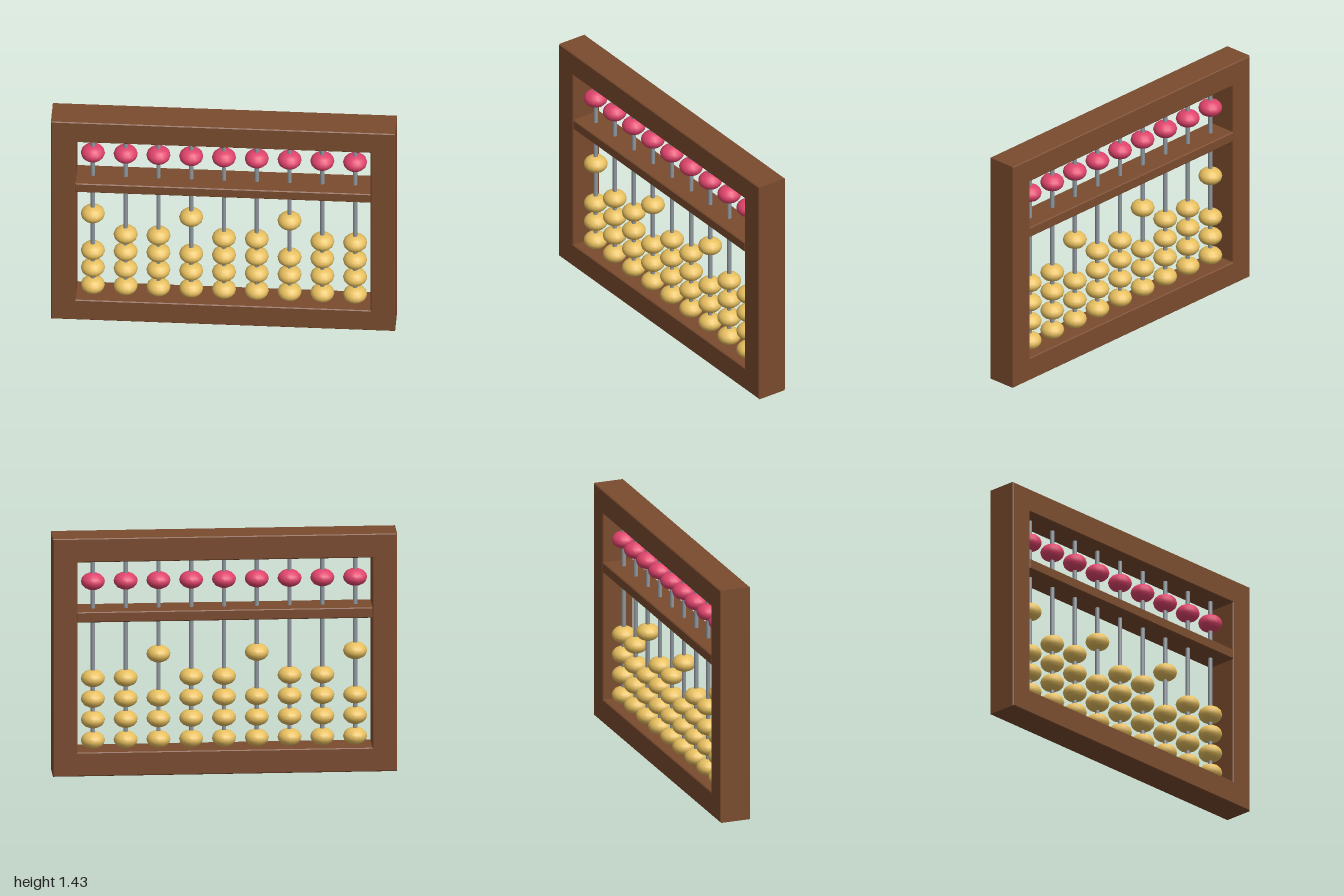
import * as THREE from 'three';

const WOOD = new THREE.MeshStandardMaterial({ color: 0x7a4b2e });
const STEEL = new THREE.MeshStandardMaterial({ color: 0x8f979e });
const RED = new THREE.MeshStandardMaterial({ color: 0xe0446c });
const GOLD = new THREE.MeshStandardMaterial({ color: 0xe8c060 });

const W = 2, H = 1.43, DEPTH = 0.187, RAIL = 0.143, BEVEL = 0.005;

// Traces a rectangle on a Shape or Path
function rect(path, x0, y0, x1, y1) {
  path.moveTo(x0, y0);
  path.lineTo(x1, y0);
  path.lineTo(x1, y1);
  path.lineTo(x0, y1);
  path.closePath();
  return path;
}

// Extrudes a shape along z, centred, with finely bevelled edges
function plank(shape, depth) {
  const geo = new THREE.ExtrudeGeometry(shape, {
    depth: depth - 2 * BEVEL, bevelEnabled: true, bevelThickness: BEVEL,
    bevelSize: BEVEL, bevelOffset: -BEVEL, bevelSegments: 1,
  });
  return geo.translate(0, 0, BEVEL - depth / 2);
}

function add(parent, name, geometry, material, x = 0, y = 0) {
  const mesh = new THREE.Mesh(geometry, material);
  mesh.name = name;
  mesh.position.set(x, y, 0);
  parent.add(mesh);
  return mesh;
}

export function createModel() {
  const abacus = new THREE.Group();
  abacus.name = 'abacus';

  // Outer frame with its window
  const outline = rect(new THREE.Shape(), -W / 2, 0, W / 2, H);
  outline.holes.push(rect(new THREE.Path(), -W / 2 + RAIL, RAIL, W / 2 - RAIL, H - RAIL));
  add(abacus, 'frame', plank(outline, DEPTH), WOOD);

  // Dividing beam
  const beam = rect(new THREE.Shape(), -0.859, 0.925, 0.859, 0.987);
  add(abacus, 'dividingBeam', plank(beam, DEPTH), WOOD);

  // Rods with one upper bead and four lower beads each
  const rodGeo = new THREE.CylinderGeometry(0.013, 0.013, H - 2 * RAIL + 0.02, 10);
  const beadGeo = new THREE.SphereGeometry(0.07, 16, 8).scale(1, 0.73, 1);
  for (let i = 0; i < 9; i++) {
    const column = new THREE.Group();
    column.name = 'column';
    column.position.x = (i - 4) * 0.1905;
    abacus.add(column);

    add(column, 'rod', rodGeo, STEEL, 0, H / 2);
    add(column, 'upperBead', beadGeo, RED, 0, 1.149);
    for (let j = 0; j < 4; j++) {
      // Every third column has its top bead pushed up
      const raised = j === 3 && i % 3 === 0 ? 0.142 : 0;
      add(column, 'lowerBead', beadGeo, GOLD, 0, 0.193 + j * 0.124 + raised);
    }
  }
  return abacus;
}
